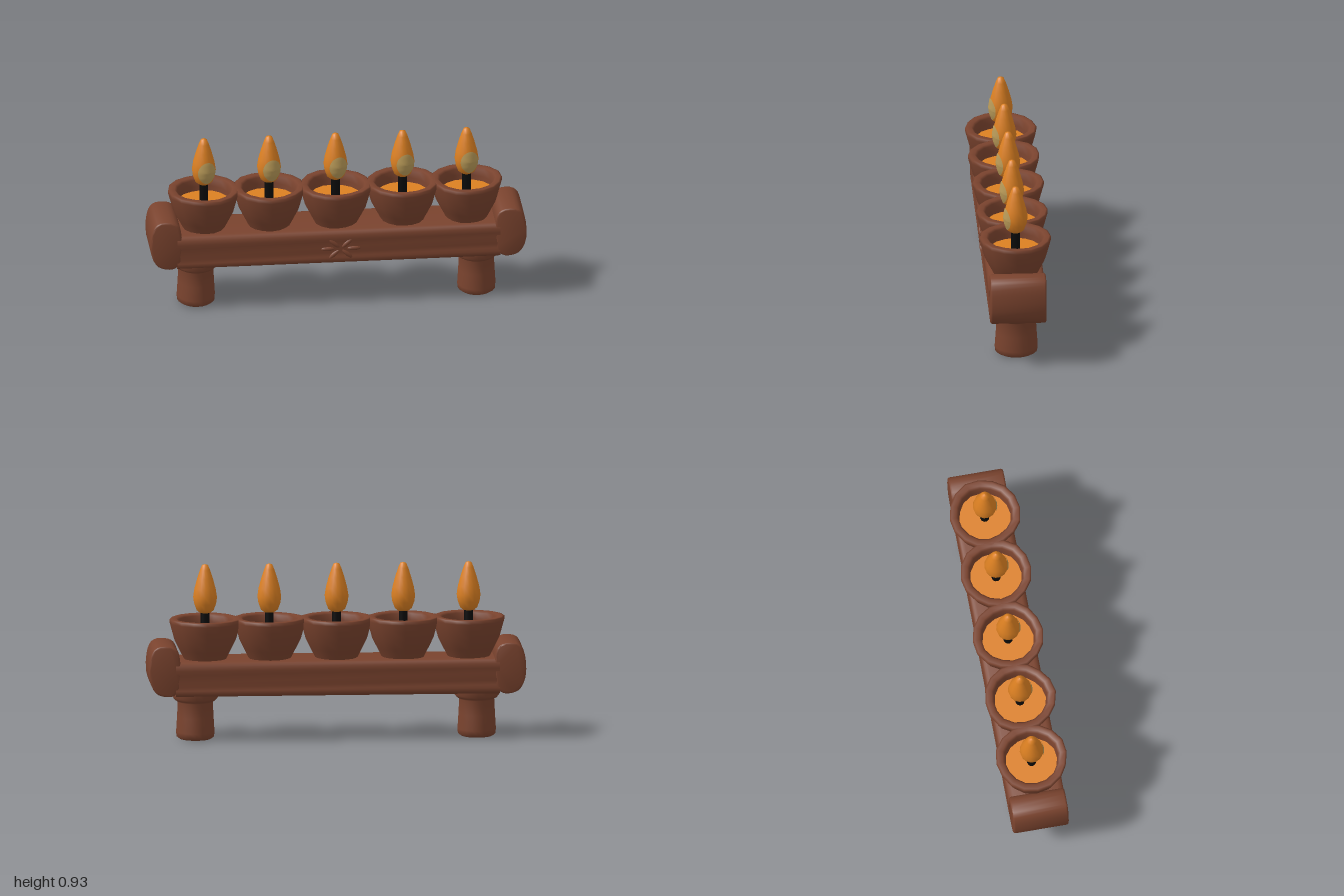
import * as THREE from 'three';
import { toCreasedNormals } from 'three/addons/utils/BufferGeometryUtils.js';

const paint = (name, color) => {
  const m = new THREE.MeshStandardMaterial({ color });
  m.name = name;
  return m;
};
const vecs = (pts) => pts.map(([x, y]) => new THREE.Vector2(x, y));
const lathe = (pts, sides) => new THREE.LatheGeometry(vecs(pts), sides);

// flame outline as [radius, height]
const FLAME = [[0, 0.672], [0.028, 0.676], [0.046, 0.69], [0.059, 0.725], [0.064, 0.76],
  [0.057, 0.805], [0.042, 0.86], [0.027, 0.905], [0.016, 0.931], [0, 0.936]];

function flameRadius(y) {
  for (let i = 1; i < FLAME.length; i++) {
    const [r0, y0] = FLAME[i - 1], [r1, y1] = FLAME[i];
    if (y <= y1) return r0 + (r1 - r0) * (y - y0) / (y1 - y0);
  }
  return 0;
}

// oval patch wrapped onto the front of the flame
function glowGeometry() {
  const geo = new THREE.RingGeometry(0.001, 1, 24, 6);
  const p = geo.attributes.position;
  for (let i = 0; i < p.count; i++) {
    const angle = 0.25 + 0.85 * p.getX(i);
    const y = 0.755 + 0.062 * p.getY(i);
    const r = flameRadius(y) + 0.003;
    p.setXYZ(i, r * Math.sin(angle), y, r * Math.cos(angle));
  }
  geo.computeVertexNormals();
  return geo;
}

// hand-shaped bowl, slightly out of round
function bowlGeometry(seed) {
  const geo = lathe([[0.1, 0.4], [0.115, 0.435], [0.138, 0.48], [0.163, 0.53], [0.178, 0.585],
    [0.189, 0.625], [0.189, 0.643], [0.18, 0.646], [0.155, 0.645], [0.143, 0.635],
    [0.14, 0.6], [0.135, 0.56]], 16);
  const p = geo.attributes.position;
  for (let i = 0; i < p.count; i++) {
    const a = Math.atan2(p.getX(i), p.getZ(i));
    const k = 1 + 0.015 * Math.sin(3 * a + seed * 2) + 0.01 * Math.sin(5 * a + seed);
    p.setX(i, p.getX(i) * k);
    p.setZ(i, p.getZ(i) * k);
  }
  return geo;
}

export function createModel() {
  const group = new THREE.Group();
  const wood = paint('brown wood', 0x7a432e);
  const orange = paint('orange flame', 0xdc8022);
  const pale = paint('pale glow', 0xb99a58);
  const black = paint('black wick', 0x0b0b0b);
  const add = (name, geo, mat, parent = group) => {
    const mesh = new THREE.Mesh(geo, mat);
    mesh.name = name;
    parent.add(mesh);
    return mesh;
  };

  // beam: carved section with shallow grooves, run along x
  const half = [[0.135, 0.247], [0.148, 0.258], [0.15, 0.278], [0.144, 0.295], [0.148, 0.32],
    [0.146, 0.36], [0.151, 0.385], [0.15, 0.41], [0.14, 0.427], [0.12, 0.432]];
  const section = [...half, ...half.map(([z, y]) => [-z, y]).reverse()];
  const beam = new THREE.ExtrudeGeometry(new THREE.Shape(vecs(section)),
    { depth: 1.72, bevelEnabled: false });
  beam.translate(0, 0, -0.86).rotateY(Math.PI / 2);
  add('beam', toCreasedNormals(beam, 0.9), wood);

  // carved flower on the front of the beam
  const flower = new THREE.Group();
  flower.name = 'carvedFlower';
  flower.position.set(0.01, 0.33, 0.145);
  group.add(flower);
  for (let i = 0; i < 6; i++) {
    const a = i * Math.PI / 3;
    const petal = add('petal', new THREE.SphereGeometry(1, 10, 6), wood, flower);
    petal.scale.set(0.04, 0.012, 0.01);
    petal.position.set(0.07 * Math.cos(a), 0.036 * Math.sin(a), 0);
    petal.rotation.z = Math.atan2(0.036 * Math.sin(a), 0.07 * Math.cos(a));
  }

  // rounded end blocks
  const outline = [[0.035, -0.128], [0.062, -0.105], [0.073, -0.05], [0.073, 0.05],
    [0.06, 0.105], [0.03, 0.124], [-0.03, 0.124], [-0.055, 0.105], [-0.072, 0.05],
    [-0.072, -0.05], [-0.045, -0.108], [-0.015, -0.125]];
  for (const side of [-1, 1]) {
    const shape = new THREE.Shape();
    const pts = outline.map(([x, y]) => [-side * x, y]);
    if (side > 0) pts.reverse();
    shape.setFromPoints(new THREE.CatmullRomCurve3(
      pts.map(([x, y]) => new THREE.Vector3(x, y, 0)), true).getPoints(28).slice(0, -1));
    const block = new THREE.ExtrudeGeometry(shape, { depth: 0.276, bevelEnabled: true,
      bevelThickness: 0.01, bevelSize: 0.008, bevelSegments: 2 });
    block.translate(0, 0, -0.138);
    add(side < 0 ? 'rightEndBlock' : 'leftEndBlock', toCreasedNormals(block, 0.8), wood)
      .position.set(side * 0.917, 0.384, 0);

    // leg with a collar under the beam
    const leg = add(side < 0 ? 'rightLeg' : 'leftLeg', lathe([[0, 0.002], [0.085, 0.003],
      [0.1, 0.014], [0.102, 0.04], [0.097, 0.12], [0.093, 0.2], [0.108, 0.21],
      [0.121, 0.225], [0.123, 0.26]], 20), wood);
    leg.position.x = side * 0.747;
    leg.scale.z = 1.12;
  }

  // five oil lamps
  const flameGeo = lathe(FLAME, 14);
  const glowGeo = glowGeometry();
  [-0.704, -0.357, -0.003, 0.354, 0.695].forEach((x, i) => {
    const lamp = new THREE.Group();
    lamp.name = 'lamp' + (i + 1);
    lamp.position.x = x;
    group.add(lamp);
    add('bowl', bowlGeometry(i), wood, lamp);
    add('oil', new THREE.CircleGeometry(0.145, 16).rotateX(-Math.PI / 2), orange, lamp)
      .position.y = 0.575;
    add('wick', new THREE.CylinderGeometry(0.024, 0.024, 0.13, 10), black, lamp)
      .position.y = 0.625;
    add('flame', flameGeo, orange, lamp);
    add('flameGlow', glowGeo, pale, lamp);
  });
  return group;
}
